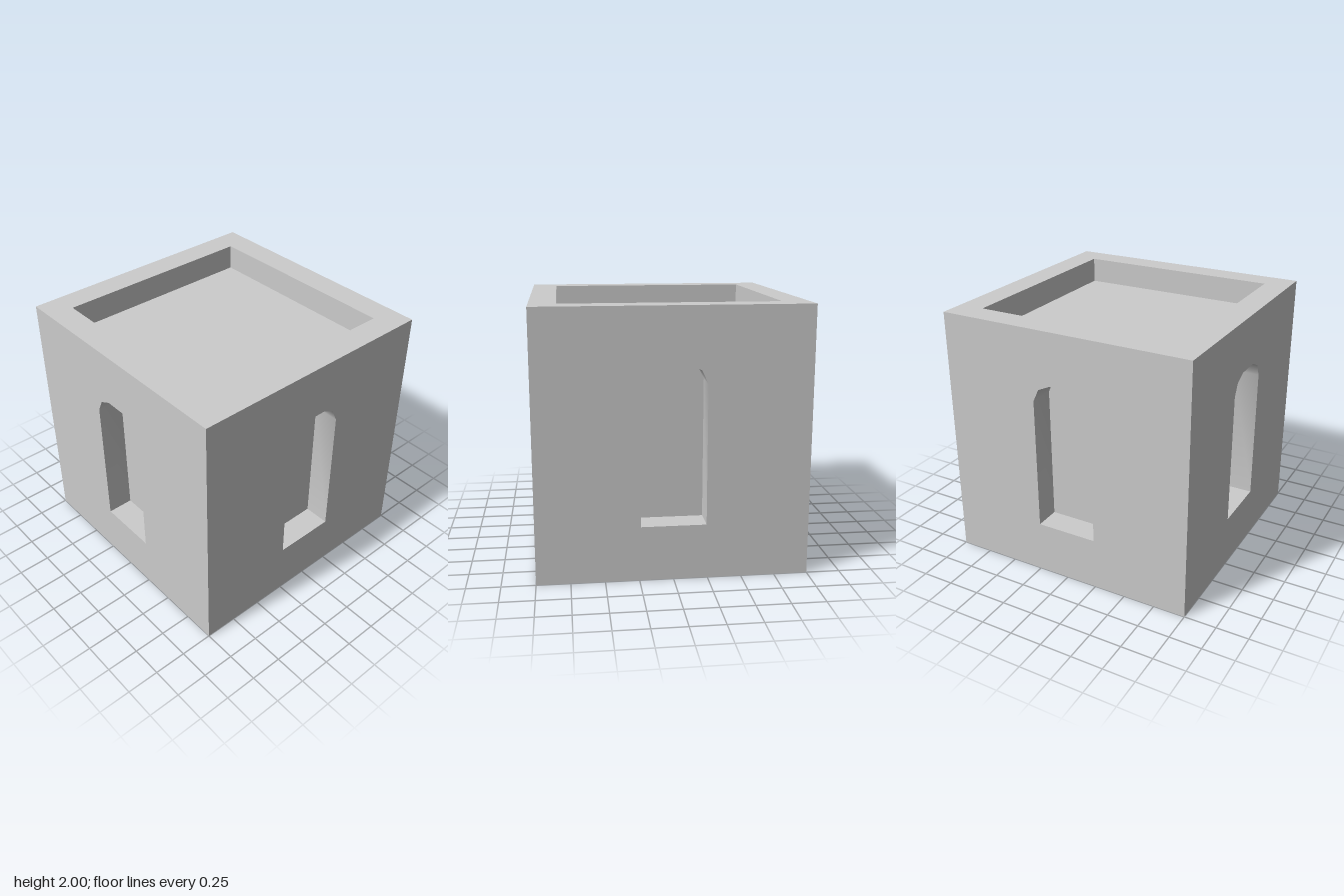
import * as THREE from 'three';
import { toCreasedNormals } from 'three/addons/utils/BufferGeometryUtils.js';

const DEPTH = 0.2;
const material = new THREE.MeshStandardMaterial({ color: 0xcccccc });

const rectangle = (h) => [[-h, -h], [h, -h], [h, h], [-h, h]];
const toVectors = (outline) => outline.map(([x, y]) => new THREE.Vector2(x, y));

function mesh(name, geometry) {
  const m = new THREE.Mesh(geometry, material);
  m.name = name;
  return m;
}

// Inward-facing band that follows a counter-clockwise outline
function revealGeometry(outline) {
  const positions = [];
  outline.forEach(([ax, ay], i) => {
    const [bx, by] = outline[(i + 1) % outline.length];
    positions.push(ax, ay, 0, bx, by, 0, bx, by, -DEPTH);
    positions.push(ax, ay, 0, bx, by, -DEPTH, ax, ay, -DEPTH);
  });
  const geometry = new THREE.BufferGeometry();
  geometry.setAttribute('position', new THREE.Float32BufferAttribute(positions, 3));
  return toCreasedNormals(geometry, 0.8);
}

// One side of the block, facing +z, with a recess sunk into it
function recessedSide(name, surfaceName, recessName, outline) {
  const side = new THREE.Group();
  side.name = name;
  const surface = new THREE.Shape(toVectors(rectangle(1)));
  surface.holes.push(new THREE.Path(toVectors(outline)));
  const back = mesh(recessName + 'Back', new THREE.ShapeGeometry(new THREE.Shape(toVectors(outline))));
  back.position.z = -DEPTH;
  side.add(
    mesh(surfaceName, new THREE.ShapeGeometry(surface)),
    mesh(recessName + 'Reveal', revealGeometry(outline)),
    back
  );
  return side;
}

export function createModel() {
  const model = new THREE.Group();
  model.name = 'towerBlock';

  // Four walls with arched window niches
  const arch = [
    [-0.24, -0.59], [0.24, -0.59], [0.24, 0.45], [0.194, 0.547],
    [0.098, 0.592], [-0.098, 0.592], [-0.194, 0.547], [-0.24, 0.45],
  ];
  ['front', 'left', 'back', 'right'].forEach((name, i) => {
    const wall = recessedSide(name + 'Wall', 'wallFace', 'window', arch);
    const angle = i * Math.PI / 2;
    wall.rotation.y = angle;
    wall.position.set(Math.sin(angle), 1, Math.cos(angle));
    model.add(wall);
  });

  // Sunken roof inside a square parapet
  const roof = recessedSide('roof', 'parapetTop', 'roofRecess', rectangle(0.8));
  roof.rotation.x = -Math.PI / 2;
  roof.position.y = 2;
  model.add(roof);

  // Underside
  const base = mesh('base', new THREE.PlaneGeometry(2, 2));
  base.rotation.x = Math.PI / 2;
  model.add(base);

  return model;
}
